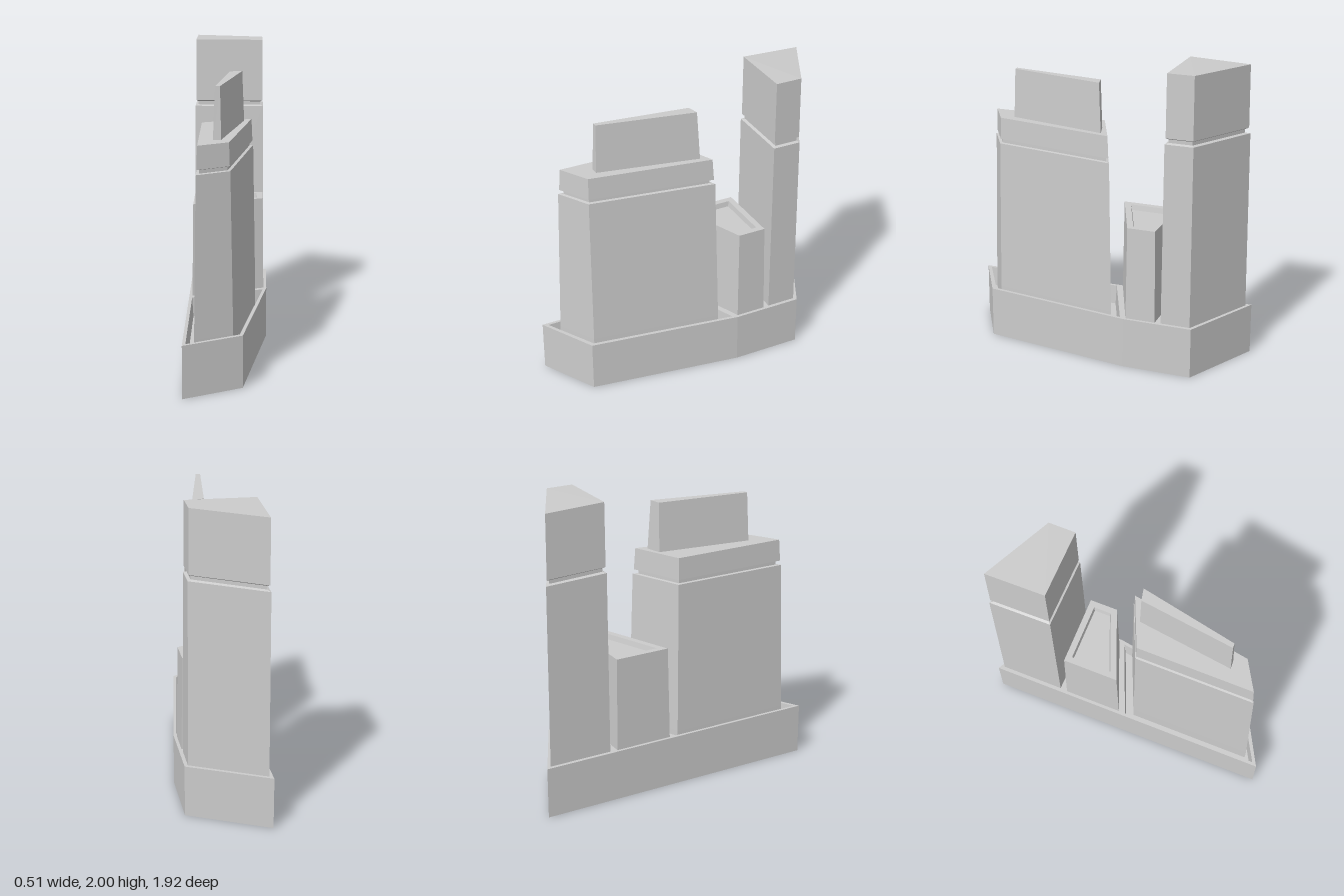
import * as THREE from 'three';

const material = new THREE.MeshStandardMaterial({
  color: 0xcccccc, flatShading: true, side: THREE.DoubleSide,
});

// Moves every edge of a convex [x, z] outline inward by d
function inset(poly, d) {
  const n = poly.length;
  const normal = (a, b) => new THREE.Vector2(b[1] - a[1], a[0] - b[0]).normalize();
  return poly.map((p, i) => {
    const n1 = normal(poly[(i + n - 1) % n], p);
    const n2 = normal(p, poly[(i + 1) % n]);
    const k = d / (1 + n1.dot(n2));
    return [p[0] + k * (n1.x + n2.x), p[1] + k * (n1.y + n2.y)];
  });
}

// Joins rings [outline, height] with flat walls and optionally closes the last one
function loft(name, rings, cap = true, tilt = () => 0) {
  const pos = [];
  const pts = rings.map(([poly, y]) => poly.map(([x, z]) => [x, y + tilt(x, z, y), z]));
  for (let r = 0; r + 1 < pts.length; r++) {
    const a = pts[r], b = pts[r + 1], n = a.length;
    for (let i = 0; i < n; i++) {
      const j = (i + 1) % n;
      pos.push(...a[i], ...a[j], ...b[j], ...a[i], ...b[j], ...b[i]);
    }
  }
  if (cap) {
    const t = pts[pts.length - 1];
    for (let i = 1; i + 1 < t.length; i++) pos.push(...t[0], ...t[i], ...t[i + 1]);
  }
  const geo = new THREE.BufferGeometry();
  geo.setAttribute('position', new THREE.Float32BufferAttribute(pos, 3));
  geo.computeVertexNormals();
  const mesh = new THREE.Mesh(geo, material);
  mesh.name = name;
  return mesh;
}

// Flat horizontal plate with openings
function plate(name, outline, holes, y) {
  const points = (poly) => poly.map(([x, z]) => new THREE.Vector2(x, -z));
  const shape = new THREE.Shape(points(outline));
  holes.forEach((h) => shape.holes.push(new THREE.Path(points(h))));
  const geo = new THREE.ShapeGeometry(shape).rotateX(-Math.PI / 2).translate(0, y, 0);
  const mesh = new THREE.Mesh(geo, material);
  mesh.name = name;
  return mesh;
}

export function createModel() {
  const group = new THREE.Group();
  const rimY = 0.34;

  // Outlines, counter-clockwise seen from above
  const base = [[-0.26, 0.96], [0.105, 0.76], [0.255, -0.24], [0.255, -0.7], [-0.26, -0.96]];
  const pit = [[-0.24, 0.925], [0.085, 0.74], [0.23, -0.21], [-0.24, -0.015]];
  const mid = [[-0.24, -0.06], [0.235, -0.25], [0.235, -0.45], [-0.24, -0.45]];
  const tower = [[-0.236, -0.5], [0.232, -0.49], [0.232, -0.685], [-0.236, -0.925]];

  // Hollow base with its rim
  group.add(loft('baseWalls', [[base, 0], [base, rimY]], false));
  group.add(plate('baseRim', base, [pit, mid, tower], rimY));

  // Front block standing in a sunken gutter, with a groove below its top
  const foot = [[-0.19, 0.86], [0.045, 0.72], [0.18, -0.13], [-0.19, 0.03]];
  const neck = [[-0.177, 0.83], [0.027, 0.71], [0.162, -0.107], [-0.177, 0.04]];
  const crown = inset(neck, 0.004);
  const crownTop = inset(neck, 0.009);
  group.add(loft('frontGutter', [[pit, rimY], [inset(pit, 0.008), 0.21], [foot, 0.21]], false));
  group.add(loft('frontBlock', [
    [foot, 0.21], [foot, rimY], [neck, 1.36], [inset(neck, 0.018), 1.363],
    [inset(neck, 0.018), 1.385], [crown, 1.39], [crownTop, 1.535],
  ]));

  // Upright fin on the front block
  const finFoot = [[-0.08, 0.63], [-0.03, 0.628], [0.103, -0.028], [0.0, 0.0]];
  const finTop = [[-0.067, 0.62], [-0.037, 0.618], [0.09, -0.012], [0.012, 0.005]];
  group.add(loft('fin', [[finFoot, 1.535], [finTop, 1.86]]));

  // Low middle block with a recessed roof
  const midTop = inset(mid, 0.008);
  const roof = inset(midTop, 0.04);
  group.add(loft('middleBlock', [
    [mid, rimY], [midTop, 0.965], [roof, 0.965], [inset(roof, 0.007), 0.93],
  ]));

  // Tall rear tower; its upper courses dip toward the rear right corner
  const dip = (x, z, y) => (y > 1 && z < -0.75 ? -0.015 : 0);
  const shaftTop = inset(tower, 0.005);
  const groove = inset(tower, 0.024);
  const head = inset(tower, 0.01);
  group.add(loft('rearTower', [
    [tower, rimY], [shaftTop, 1.55], [groove, 1.557], [groove, 1.58],
    [head, 1.588], [inset(tower, 0.012), 2],
  ], true, dip));

  return group;
}
